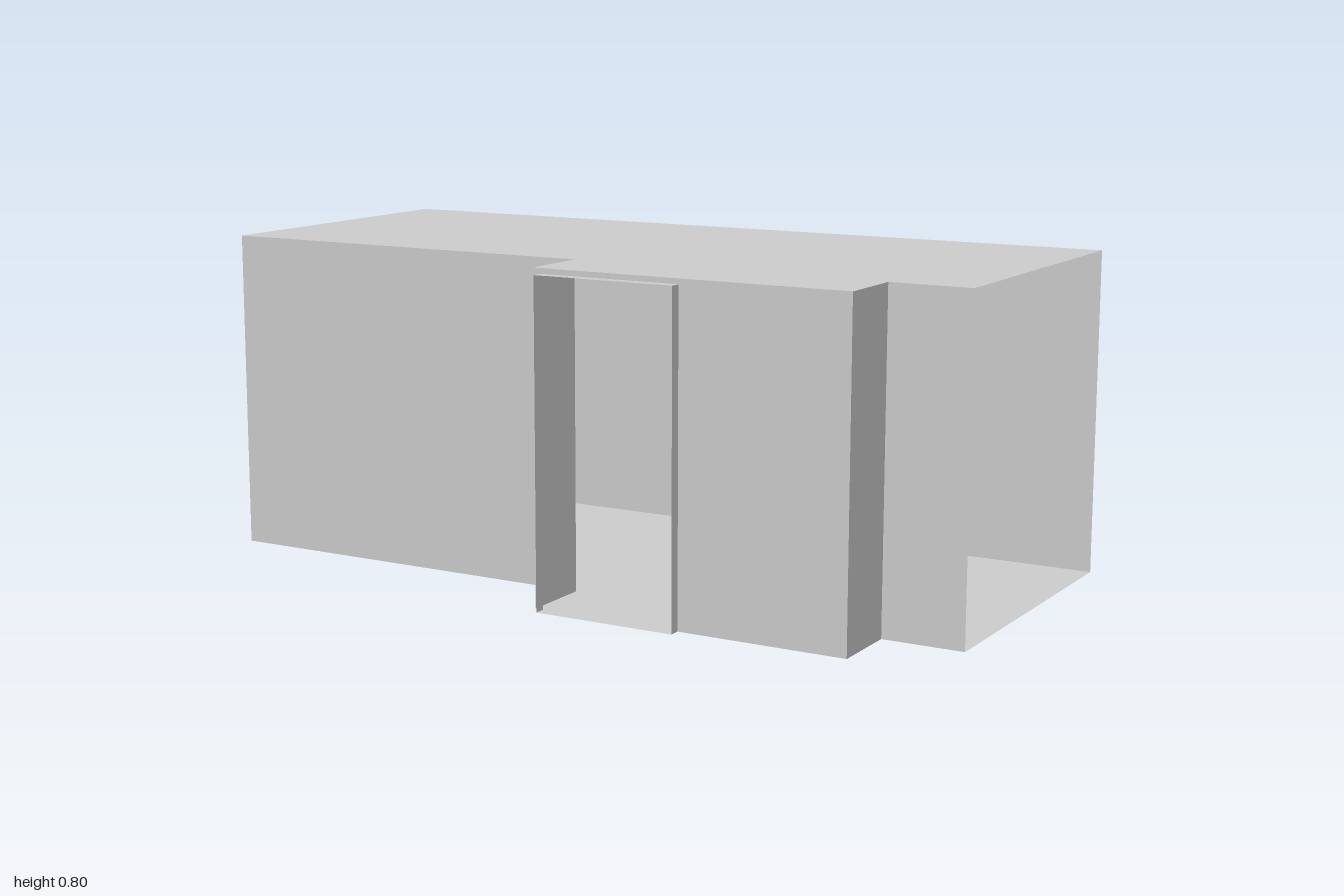
import * as THREE from 'three';

const H = 0.8;                                        // room height
const BACK = -0.503, FRONT = 0.297, BAY = 0.475, PORCH = 0.503;
const DOOR = { left: 0.02, right: 0.38, top: 0.787 }; // doorway opening

const material = new THREE.MeshStandardMaterial({ color: 0xcccccc, side: THREE.DoubleSide, flatShading: true });

function addMesh(group, name, geometry) {
  const mesh = new THREE.Mesh(geometry, material);
  mesh.name = name;
  group.add(mesh);
  return mesh;
}

// Thin upright panel between two plan points [x, z]
function addWall(group, name, [x0, z0], [x1, z1], height = H) {
  const mesh = addMesh(group, name, new THREE.PlaneGeometry(Math.hypot(x1 - x0, z1 - z0), height));
  mesh.position.set((x0 + x1) / 2, height / 2, (z0 + z1) / 2);
  mesh.rotation.y = Math.atan2(z0 - z1, x1 - x0);
}

// Thin level slab from plan points [x, z]; faceUp picks the front side
function addSlab(group, name, points, y, faceUp) {
  const shape = new THREE.Shape(points.map(([x, z]) => new THREE.Vector2(x, faceUp ? -z : z)));
  const mesh = addMesh(group, name, new THREE.ShapeGeometry(shape));
  mesh.rotation.x = faceUp ? -Math.PI / 2 : Math.PI / 2;
  mesh.position.y = y;
}

export function createModel() {
  const room = new THREE.Group();
  room.name = 'room';

  // Room outline with the projecting bay; both ends stay open
  const outline = [[-1, FRONT], [0, FRONT], [0, BAY], [0.8, BAY], [0.8, FRONT], [1, FRONT], [1, BACK], [-1, BACK]];
  addSlab(room, 'floor', outline, 0, true);
  addSlab(room, 'ceiling', outline, H, true);

  // Walls
  addWall(room, 'backWall', [1, BACK], [-1, BACK]);
  addWall(room, 'frontWallRight', [-1, FRONT], [0, FRONT]);
  addWall(room, 'baySideRight', [0, FRONT], [0, BAY]);
  addWall(room, 'bayFront', [0.4, BAY], [0.8, BAY]);
  addWall(room, 'baySideLeft', [0.8, BAY], [0.8, FRONT]);
  addWall(room, 'frontWallLeft', [0.8, FRONT], [1, FRONT]);

  // Door surround: flat border around the opening
  const doorway = new THREE.Group();
  doorway.name = 'doorway';
  room.add(doorway);
  const { left, right, top } = DOOR;
  const border = new THREE.Shape([[0, 0], [left, 0], [left, top], [right, top], [right, 0], [0.4, 0], [0.4, H], [0, H]]
    .map(([x, y]) => new THREE.Vector2(x, y)));
  addMesh(doorway, 'doorSurround', new THREE.ShapeGeometry(border)).position.z = BAY;

  // Shallow open door frame standing forward of the bay
  const sill = [[left, PORCH], [right, PORCH], [right, BAY], [left, BAY]];
  addSlab(doorway, 'threshold', sill, 0, true);
  addSlab(doorway, 'frameHead', sill, top, true);
  addWall(doorway, 'frameJambRight', [left, BAY], [left, PORCH], top);
  addWall(doorway, 'frameJambLeft', [right, PORCH], [right, BAY], top);

  return room;
}
